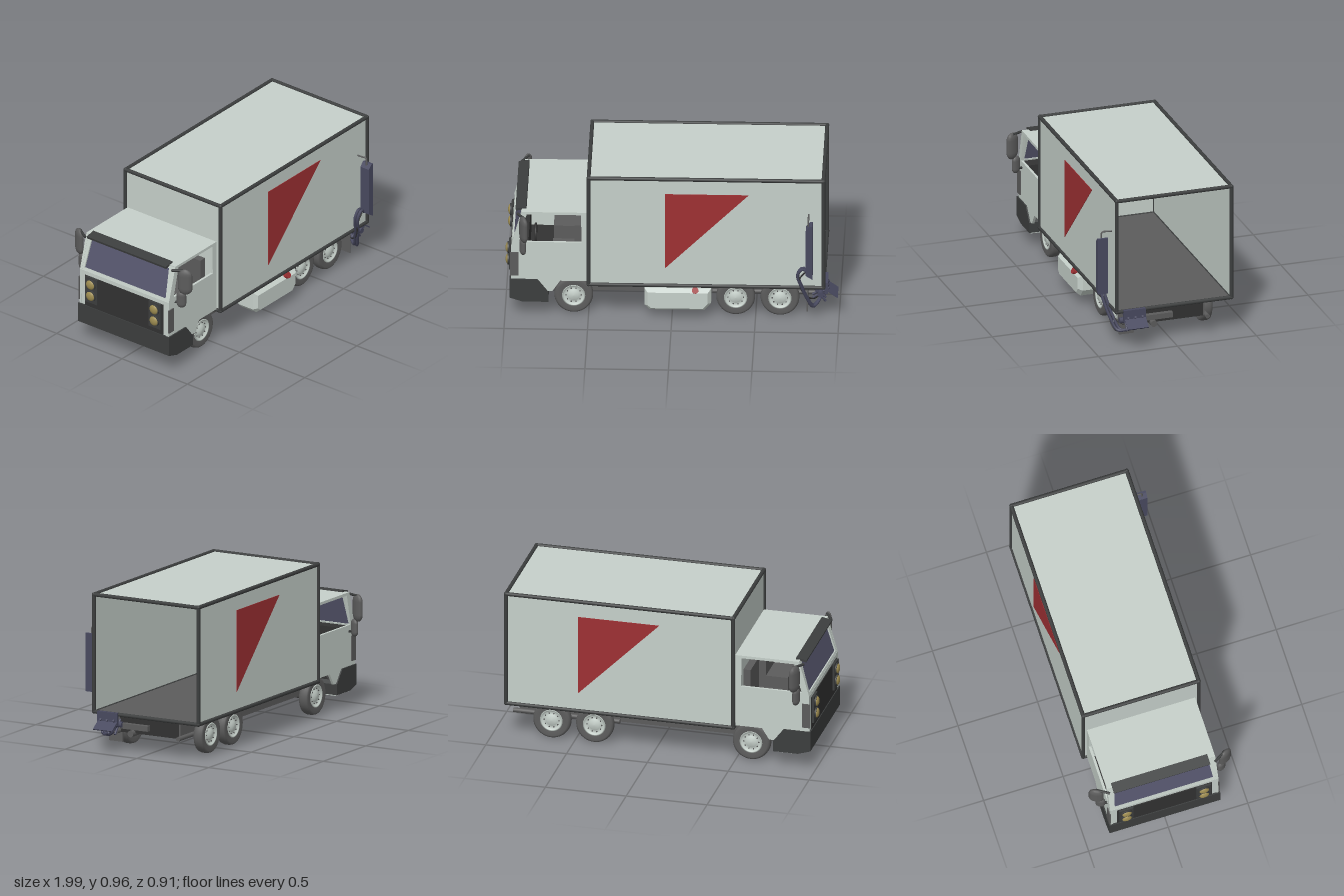
import * as THREE from 'three';

const mat = (name, color, double) => {
  const m = new THREE.MeshStandardMaterial({ color });
  m.name = name;
  if (double) m.side = THREE.DoubleSide;
  return m;
};

export function createModel() {
  const paint = mat('pale body paint', 0xc6d0ca, true);
  const trim = mat('dark trim', 0x3c3e3e);
  const grey = mat('mid grey', 0x5c5c5c);
  const black = mat('chassis black', 0x323232);
  const red = mat('sign red', 0x9e3033, true);
  const glass = mat('tinted glass', 0x55556c, true);
  const blue = mat('slate blue', 0x48495f);
  const lamp = mat('lamp amber', 0x9c8b50);

  const truck = new THREE.Group();
  truck.name = 'boxTruck';
  const CZ = -0.012; // centre line of the vehicle

  const add = (name, geo, m, parent = truck) => {
    const mesh = new THREE.Mesh(geo, m);
    mesh.name = name;
    parent.add(mesh);
    return mesh;
  };
  const box = (name, m, x0, x1, y0, y1, z0, z1, parent) => {
    const b = add(name, new THREE.BoxGeometry(x1 - x0, y1 - y0, z1 - z0), m, parent);
    b.position.set((x0 + x1) / 2, (y0 + y1) / 2, (z0 + z1) / 2);
    return b;
  };
  const rod = (name, m, a, b, r, parent, sides = 10) => {
    const p = new THREE.Vector3(...a), q = new THREE.Vector3(...b), d = q.clone().sub(p);
    const mesh = add(name, new THREE.CylinderGeometry(r, r, d.length(), sides), m, parent);
    mesh.position.copy(p).add(q).multiplyScalar(0.5);
    mesh.quaternion.setFromUnitVectors(new THREE.Vector3(0, 1, 0), d.normalize());
    return mesh;
  };
  const tube = (name, m, pts, r) => add(name, new THREE.TubeGeometry(
    new THREE.CatmullRomCurve3(pts.map(p => new THREE.Vector3(...p))), 32, r, 8), m);
  const shape = pts => new THREE.Shape(pts.map(p => new THREE.Vector2(...p)));
  const slab = (name, m, s, z0, z1, parent) => {
    const mesh = add(name, new THREE.ExtrudeGeometry(s, { depth: z1 - z0, bevelEnabled: false }), m, parent);
    mesh.position.z = z0;
    return mesh;
  };

  // Cargo box, open at the rear
  const X0 = -0.498, X1 = 0.908, Y0 = 0.233, Y1 = 0.95, Z0 = -0.373, Z1 = 0.353;
  box('cargoRoof', paint, X0, X1, Y1 - 0.006, Y1, Z0, Z1);
  box('cargoFrontWall', paint, X0, X0 + 0.006, Y0, Y1, Z0, Z1);
  box('cargoLeftWall', paint, X0, X1, Y0, Y1, Z1 - 0.006, Z1);
  box('cargoRightWall', paint, X0, X1, Y0, Y1, Z0, Z0 + 0.006);
  box('cargoFloor', grey, X0, X1, Y0 - 0.006, Y0 + 0.004, Z0, Z1);
  for (const y of [Y0, Y1]) {
    for (const z of [Z0, Z1]) rod('longEdgeRail', trim, [X0, y, z], [X1, y, z], 0.012);
    for (const x of [X0, X1]) rod('crossEdgeRail', trim, [x, y, Z0], [x, y, Z1], 0.012);
  }
  for (const x of [X0, X1]) for (const z of [Z0, Z1]) {
    rod('cornerPost', trim, [x, Y0, z], [x, Y1, z], 0.012);
    for (const y of [Y0, Y1]) add('cornerCap', new THREE.SphereGeometry(0.013, 10, 8), trim).position.set(x, y, z);
  }

  // Red triangles, pointing forward on one side and mirrored on the other
  slab('leftTriangle', red, shape([[-0.04, 0.35], [0.46, 0.85], [-0.04, 0.85]]), Z1, Z1 + 0.003);
  slab('rightTriangle', red, shape([[0.46, 0.35], [0.46, 0.85], [-0.04, 0.85]]), Z0 - 0.003, Z0);

  // Cab
  const cab = new THREE.Group();
  cab.name = 'cab';
  truck.add(cab);
  const side = shape([[-0.965, 0.24], [-0.8, 0.24], [-0.745, 0.17], [-0.715, 0.17], [-0.67, 0.24],
    [-0.505, 0.24], [-0.505, 0.7], [-0.9, 0.7], [-0.962, 0.48]]);
  side.holes.push(new THREE.Path([[-0.915, 0.5], [-0.87, 0.685], [-0.545, 0.685], [-0.54, 0.5]]
    .map(p => new THREE.Vector2(...p))));
  slab('leftCabSide', paint, side, 0.313, 0.328, cab);
  slab('rightCabSide', paint, side, -0.352, -0.337, cab);
  box('cabRoof', paint, -0.9, -0.505, 0.687, 0.702, -0.352, 0.328, cab);
  box('cabBackWall', paint, -0.525, -0.505, 0.24, 0.7, -0.345, 0.32, cab);
  box('cabNose', paint, -0.962, -0.94, 0.24, 0.48, -0.345, 0.32, cab);
  box('cabFloor', black, -0.94, -0.525, 0.25, 0.265, -0.337, 0.313, cab);
  box('dashboard', black, -0.94, -0.86, 0.265, 0.485, -0.337, 0.313, cab);
  box('grille', black, -0.967, -0.95, 0.25, 0.455, -0.31, 0.286, cab);

  // Sloping windscreen
  const screen = new THREE.Group();
  screen.name = 'windscreen';
  screen.position.set(-0.948, 0.474, CZ);
  screen.rotation.z = -Math.atan2(0.062, 0.22);
  cab.add(screen);
  const frame = shape([[-0.34, 0], [0.34, 0], [0.34, 0.232], [-0.34, 0.232]]);
  frame.holes.push(new THREE.Path([[-0.31, 0.02], [-0.295, 0.21], [0.295, 0.21], [0.31, 0.02]]
    .map(p => new THREE.Vector2(...p))));
  slab('windscreenFrame', paint, frame, 0, 0.014, screen).rotation.y = -Math.PI / 2;
  const pane = add('windscreenGlass', new THREE.PlaneGeometry(0.64, 0.2), glass, screen);
  pane.rotation.y = -Math.PI / 2;
  pane.position.set(-0.005, 0.115, 0);
  const visor = box('sunVisor', trim, -0.937, -0.872, 0.694, 0.708, -0.32, 0.285, cab);
  visor.rotation.z = 0.2;

  // Seats and steering wheel
  for (const s of [-1, 1]) {
    box('seatBase', grey, -0.72, -0.54, 0.265, 0.39, CZ + s * 0.18 - 0.1, CZ + s * 0.18 + 0.1, cab);
    box('seatBack', grey, -0.585, -0.54, 0.38, 0.585, CZ + s * 0.18 - 0.1, CZ + s * 0.18 + 0.1, cab);
  }
  const wheelRim = add('steeringWheel', new THREE.TorusGeometry(0.055, 0.007, 8, 24), black, cab);
  wheelRim.position.set(-0.82, 0.475, 0.16);
  wheelRim.rotation.set(0, Math.PI / 2, 0);

  // Bumper with chamfered ends, and a pale plate beneath
  slab('bumper', trim, shape([[-0.972, 0.125], [-0.895, 0.1], [-0.74, 0.1], [-0.74, 0.165],
    [-0.805, 0.25], [-0.972, 0.25]]), -0.36, 0.336, cab);
  box('bumperUnderside', paint, -0.89, -0.742, 0.095, 0.1, -0.35, 0.326, cab);

  // Headlights and mirrors on both sides
  for (const s of [-1, 1]) {
    const z = CZ + s * 0.243;
    box('headlightPlate', trim, -0.978, -0.955, 0.285, 0.455, z - 0.045, z + 0.045, cab);
    const zs = CZ + s * 0.342;
    box('cornerVent', grey, -0.968, -0.918, 0.275, 0.43, zs - 0.004, zs + 0.004, cab);
    for (const y of [0.335, 0.412]) {
      rod('headlightRing', trim, [-0.97, y, z], [-0.987, y, z], 0.036, cab, 24);
      const lens = add('headlightLens', new THREE.SphereGeometry(0.031, 20, 12), lamp, cab);
      lens.scale.x = 0.5;
      lens.position.set(-0.984, y, z);
    }
    const mz = CZ + s * 0.405;
    rod('upperMirrorArm', trim, [-0.925, 0.685, CZ + s * 0.33], [-0.88, 0.69, mz], 0.008, cab);
    rod('lowerMirrorArm', trim, [-0.9, 0.46, CZ + s * 0.335], [-0.885, 0.47, mz - s * 0.03], 0.008, cab);
    [[0.615, 0.085, 0.02, 0.045], [0.49, 0.055, 0.018, 0.03]].forEach(([y, h, w, d], i) => {
      const mirror = add(i ? 'lowerMirror' : 'upperMirror', new THREE.CapsuleGeometry(d, h * 2 - d * 2, 4, 12), grey, cab);
      mirror.scale.x = w / d;
      mirror.rotation.y = s * 0.45;
      mirror.position.set(-0.887 - i * 0.005, y, mz - s * i * 0.025);
    });
  }

  // Chassis
  box('chassis', black, -0.74, 0.86, 0.118, 0.228, -0.21, 0.2);
  for (const z of [-0.215, 0.205]) box('chassisSideRail', grey, -0.72, 0.86, 0.12, 0.225, z - 0.006, z + 0.006);
  box('rearCrossBar', grey, 0.86, 0.89, 0.145, 0.178, -0.01, 0.19);
  for (const z of [CZ - 0.265, CZ + 0.265])
    slab('mudguard', grey, shape([[-0.72, 0.2], [-0.665, 0.25], [-0.5, 0.25], [-0.47, 0.2],
      [-0.482, 0.2], [-0.508, 0.238], [-0.66, 0.238], [-0.705, 0.2]]), z - 0.045, z + 0.045);
  for (const z of [CZ - 0.24, CZ + 0.24]) rod('lowerSideTube', grey, [0.24, 0.125, z * 0.9], [0.9, 0.125, z * 0.9], 0.014);

  // Wheels and axles
  const tyreGeo = new THREE.LatheGeometry([[0.068, -0.028], [0.1, -0.033], [0.112, -0.026], [0.116, -0.012],
    [0.116, 0.012], [0.112, 0.026], [0.1, 0.033], [0.068, 0.028]].map(p => new THREE.Vector2(...p)), 40);
  const hubGeo = new THREE.LatheGeometry([[0, -0.02], [0.07, -0.02], [0.07, 0.03], [0.062, 0.03], [0.055, 0.018],
    [0.035, 0.02], [0.028, 0.03], [0, 0.032]].map(p => new THREE.Vector2(...p)), 32);
  for (const x of [-0.59, 0.38, 0.645]) {
    rod('axle', grey, [x, 0.12, -0.26], [x, 0.12, 0.24], 0.027, truck, 16);
    for (const s of [-1, 1]) {
      const wheel = new THREE.Group();
      wheel.name = 'wheel';
      wheel.position.set(x, 0.118, CZ + s * 0.265);
      wheel.rotation.x = s * Math.PI / 2;
      truck.add(wheel);
      add('tyre', tyreGeo, grey, wheel);
      add('hub', hubGeo, paint, wheel);
      for (let i = 0; i < 10; i++) {
        const a = i * Math.PI / 5;
        add('wheelBolt', new THREE.CylinderGeometry(0.004, 0.004, 0.008, 6), grey, wheel)
          .position.set(0.046 * Math.cos(a), 0.021, 0.046 * Math.sin(a));
      }
    }
  }

  // Side tank with its red cap
  const tank = add('sideTank', new THREE.ExtrudeGeometry(shape([[-0.145, 0.1], [-0.125, 0.08], [0.185, 0.08],
    [0.215, 0.115], [0.215, 0.185], [-0.145, 0.185]]),
  { depth: 0.11, bevelSize: 0.02, bevelThickness: 0.025, bevelSegments: 1 }), paint);
  tank.position.z = 0.225;
  rod('tankCap', red, [0.14, 0.19, 0.335], [0.14, 0.207, 0.365], 0.02, truck, 20);

  // Equipment panel on the left side near the rear
  slab('sidePanel', blue, shape([[0.805, 0.36], [0.845, 0.335], [0.845, 0.692], [0.83, 0.692], [0.805, 0.665]]), 0.385, 0.45);
  tube('panelBracket', grey, [[0.82, 0.725, 0.353], [0.82, 0.727, 0.39], [0.82, 0.727, 0.415], [0.82, 0.71, 0.42], [0.82, 0.68, 0.42]], 0.005);
  for (const z of [0, 0.02])
    tube('hose', blue, [[0.815, 0.36, 0.405 - z], [0.785, 0.385, 0.41 - z], [0.755, 0.34, 0.405 - z], [0.775, 0.26, 0.39 - z],
      [0.81, 0.16, 0.36 - z], [0.845, 0.09, 0.325 - z], [0.885, 0.11, 0.26 - z], [0.9, 0.16, 0.2]], 0.009);
  tube('thinHose', black, [[0.8, 0.36, 0.4], [0.765, 0.31, 0.4], [0.79, 0.2, 0.37], [0.84, 0.13, 0.3], [0.88, 0.11, 0.22]], 0.005);

  // Rear hitch: mudflap, coupling, tilted plate and levers
  box('mudflap', grey, 0.805, 0.813, 0.045, 0.225, 0.21, 0.305);
  rod('exhaust', grey, [0.8, 0.118, 0.11], [0.89, 0.118, 0.11], 0.02, truck, 16);
  rod('hitchPipe', blue, [0.89, 0.17, 0.165], [0.89, 0.17, 0.33], 0.018);
  box('hitchHousing', blue, 0.912, 0.934, 0.17, 0.245, 0.178, 0.315);
  const plate = box('hitchPlate', blue, 0.92, 0.998, 0.163, 0.17, 0.178, 0.31);
  plate.rotation.z = -0.62;
  for (const z of [0.2, 0.245, 0.29]) {
    rod('hitchLever', blue, [0.84, 0.13, z], [0.94, 0.2, z], 0.007);
    rod('hitchStay', blue, [0.85, 0.2, z], [0.92, 0.11, z], 0.007);
  }
  return truck;
}
